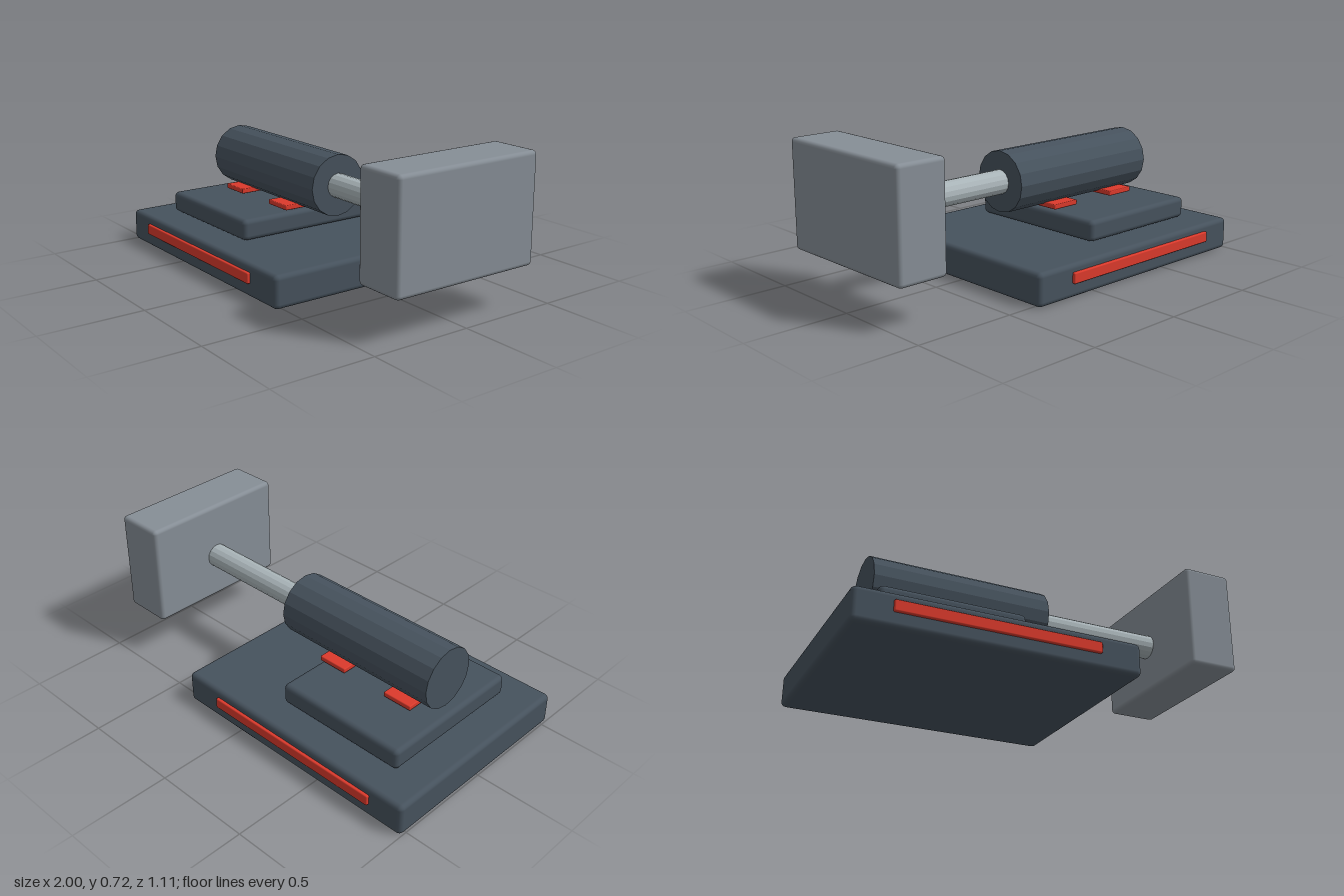
import * as THREE from 'three';
import { RoundedBoxGeometry } from 'three/addons/geometries/RoundedBoxGeometry.js';

const paint = (color, flatShading = false) => new THREE.MeshStandardMaterial({ color, flatShading });

export function createModel() {
  const model = new THREE.Group();
  model.name = 'pistonMallet';

  const dark = paint(0x46525d);
  const darkFaceted = paint(0x46525d, true);
  const steel = paint(0x868e96);
  const bright = paint(0xa9b4b8, true);
  const red = paint(0xdc3a2c);

  const add = (name, geometry, material, x, y, z = 0) => {
    const mesh = new THREE.Mesh(geometry, material);
    mesh.name = name;
    mesh.position.set(x, y, z);
    model.add(mesh);
    return mesh;
  };

  // Soft-edged block given by its limits in x and y and its depth, centred on z
  const block = (name, material, x0, x1, y0, y1, depth, radius, z = 0) =>
    add(name, new RoundedBoxGeometry(x1 - x0, y1 - y0, depth, 2, radius), material,
      (x0 + x1) / 2, (y0 + y1) / 2, z);

  // Faceted cylinder lying along x
  const bar = (name, material, x0, x1, y, radius) => {
    const geometry = new THREE.CylinderGeometry(radius, radius, x1 - x0, 16);
    geometry.rotateZ(-Math.PI / 2);
    return add(name, geometry, material, (x0 + x1) / 2, y);
  };

  // Stacked base
  block('base', dark, -1, 0.357, 0.003, 0.164, 1.082, 0.024);
  block('pedestal', dark, -0.836, -0.14, 0.169, 0.274, 0.772, 0.024);

  // Barrel, rod and striking head
  bar('barrel', darkFaceted, -0.79, 0.095, 0.441, 0.152);
  bar('rod', bright, 0.05, 0.78, 0.441, 0.06);
  block('head', steel, 0.745, 1, 0.206, 0.726, 0.776, 0.02);

  // Saddles under the barrel
  for (const x of [-0.62, -0.22]) {
    block('saddle', red, x - 0.078, x + 0.078, 0.284, 0.309, 0.28, 0.005);
  }

  // Stripes along both long sides of the base
  for (const side of [1, -1]) {
    block('sideStripe', red, -0.82, 0.15, 0.073, 0.126, 0.03, 0.006, side * 0.541);
  }

  return model;
}
